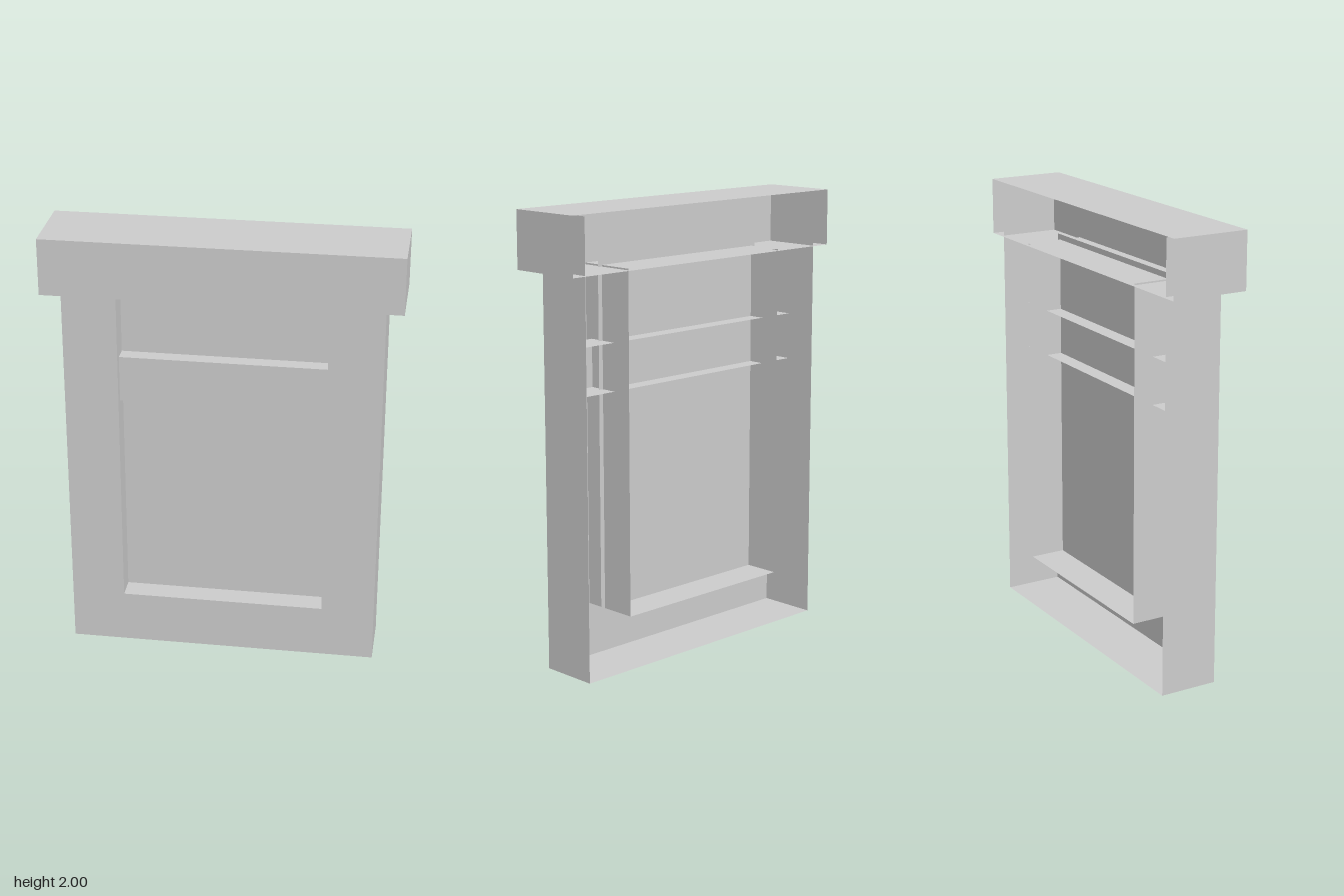
import * as THREE from 'three';

const grey = new THREE.MeshStandardMaterial({ color: 0xcccccc, side: THREE.DoubleSide, flatShading: true });

// Builds an open shell from the chosen sides of a box: f(ront), t(op), b(ottom), l(eft), r(ight)
function shell(name, [x0, x1], [y0, y1], [z0, z1], sides) {
  const group = new THREE.Group();
  group.name = name;
  const w = x1 - x0, h = y1 - y0, d = z1 - z0;
  const cx = (x0 + x1) / 2, cy = (y0 + y1) / 2, cz = (z0 + z1) / 2;
  const q = Math.PI / 2;
  const table = {
    f: ['Front', w, h, [cx, cy, z1], [0, 0, 0]],
    t: ['Top', w, d, [cx, y1, cz], [-q, 0, 0]],
    b: ['Bottom', w, d, [cx, y0, cz], [q, 0, 0]],
    l: ['Left', d, h, [x1, cy, cz], [0, q, 0]],
    r: ['Right', d, h, [x0, cy, cz], [0, -q, 0]],
  };
  for (const s of sides) {
    const [label, a, b, pos, rot] = table[s];
    const mesh = new THREE.Mesh(new THREE.PlaneGeometry(a, b), grey);
    mesh.name = name + label;
    mesh.position.set(...pos);
    mesh.rotation.set(...rot);
    group.add(mesh);
  }
  return group;
}

function rectangle(Type, x, y0, y1) {
  const p = new Type();
  p.moveTo(-x, y0);
  p.lineTo(x, y0);
  p.lineTo(x, y1);
  p.lineTo(-x, y1);
  p.closePath();
  return p;
}

export function createModel() {
  const model = new THREE.Group();
  model.name = 'window';
  const front = 0.105, back = -0.16;

  // Outer casing, open at the back, its sides running up inside the header
  model.add(shell('casing', [-0.697, 0.697], [0, 1.99], [back, front], 'lrb'));

  // Front face with the window opening
  const face = rectangle(THREE.Shape, 0.697, 0, 1.99);
  face.holes.push(rectangle(THREE.Path, 0.458, 0.243, 1.755));
  const frame = new THREE.Mesh(new THREE.ShapeGeometry(face), grey);
  frame.name = 'frontFrame';
  frame.position.z = front;
  model.add(frame);

  // Lining of the opening, running the full depth
  model.add(shell('openingLining', [-0.458, 0.458], [0.243, 1.755], [back, front], 'lrtb'));

  // Recessed pane, slightly larger than the opening
  model.add(shell('pane', [-0.48, 0.48], [0.21, 1.78], [-0.01, 0.003], 'f'));

  // Crossbar: channel passing through the lining, open at the back
  model.add(shell('crossbar', [-0.637, 0.637], [1.222, 1.432], [-0.07, 0.07], 'ftb'));

  // Header box, open at the back
  model.add(shell('header', [-0.775, 0.775], [1.748, 2], [-0.174, 0.174], 'ftblr'));

  return model;
}
